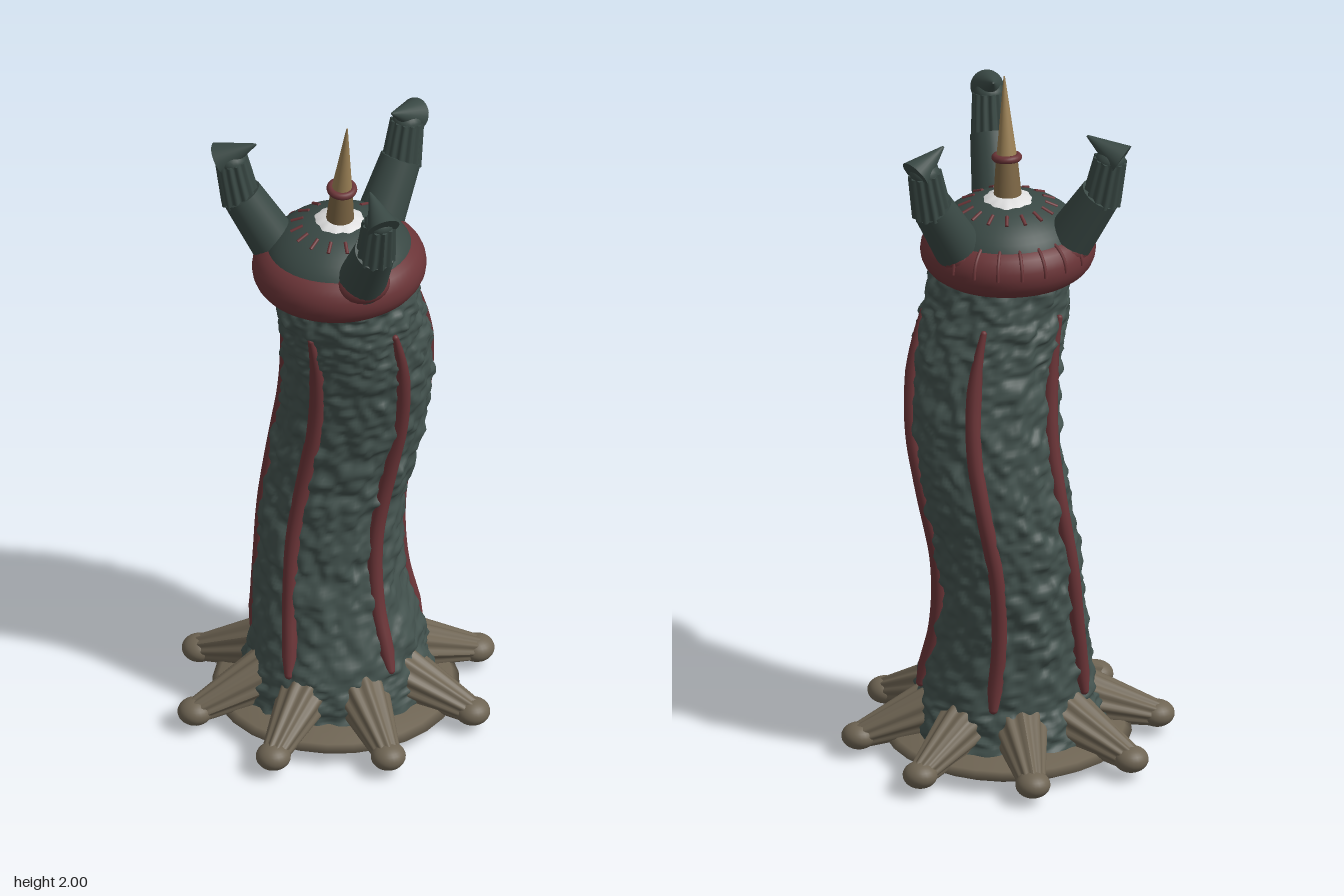
import * as THREE from 'three';
import { mergeVertices } from 'three/addons/utils/BufferGeometryUtils.js';

const V = (x, y, z) => new THREE.Vector3(x, y, z);
const mat = (name, color) => {
  const m = new THREE.MeshStandardMaterial({ color });
  m.name = name;
  return m;
};

// Height, centre x, centre z and radius of the trunk, which is slightly oval
const OVAL = 0.93;
const SPINE = [
  [0.07, 0, 0, 0.275], [0.2, 0.008, 0, 0.246], [0.4, 0.003, -0.033, 0.211], [0.6, 0.014, -0.053, 0.2],
  [0.8, 0.048, -0.052, 0.203], [1.0, 0.073, -0.025, 0.207], [1.2, 0.063, 0.01, 0.206],
  [1.35, 0.032, 0.035, 0.203], [1.5, 0.0, 0.045, 0.188],
];
const axisCurve = new THREE.CatmullRomCurve3(SPINE.map(([y, x, z]) => V(x, y, z)));
const radiusCurve = new THREE.CatmullRomCurve3(SPINE.map(([y, , , r]) => V(r, y, 0)));

// Point on the trunk at spine parameter t and angle a, pushed out by d
function trunkPoint(t, a, d) {
  const p = axisCurve.getPoint(t);
  const r = radiusCurve.getPoint(t).x + d;
  return V(p.x + Math.sin(a) * r, p.y, p.z + Math.cos(a) * r * OVAL);
}

// Smooth lattice noise, periodic around the trunk
function hash(i, j) {
  const s = Math.sin(i * 127.1 + j * 311.7) * 43758.5453;
  return (s - Math.floor(s)) * 2 - 1;
}
function noise(u, v, cells) {
  const i = Math.floor(u), j = Math.floor(v);
  const s = (f) => f * f * (3 - 2 * f);
  const a = s(u - i), b = s(v - j);
  const h = (di, dj) => hash((((i + di) % cells) + cells) % cells, j + dj);
  return (h(0, 0) * (1 - a) + h(1, 0) * a) * (1 - b) + (h(0, 1) * (1 - a) + h(1, 1) * a) * b;
}

// Rough, swaying trunk
function trunkGeometry() {
  const g = new THREE.CylinderGeometry(1, 1, 1, 144, 180, true);
  g.deleteAttribute('uv');
  const pos = g.attributes.position;
  for (let i = 0; i < pos.count; i++) {
    const t = pos.getY(i) + 0.5;
    const a = Math.atan2(pos.getX(i), pos.getZ(i));
    const u = a / (Math.PI * 2) + 1;
    const bump = 0.01 * noise(u * 34 + t * 6, t * 40, 34) + 0.007 * noise(u * 60, t * 80, 60);
    const q = trunkPoint(t, a, bump);
    pos.setXYZ(i, q.x, q.y, q.z);
  }
  g.deleteAttribute('normal');
  const merged = mergeVertices(g, 1e-5);
  merged.computeVertexNormals();
  return merged;
}

// Tapered rod between two points, optionally with lengthwise ribs
function rod(a, b, ra, rb, ribs = 0, depth = 0.15) {
  const dir = b.clone().sub(a);
  const g = new THREE.CylinderGeometry(rb, ra, dir.length(), ribs ? ribs * 6 : 28, 4);
  if (ribs) {
    const pos = g.attributes.position;
    for (let i = 0; i < pos.count; i++) {
      const ang = Math.atan2(pos.getX(i), pos.getZ(i));
      const k = 1 - depth * (0.5 - 0.5 * Math.cos(ang * ribs));
      pos.setXYZ(i, pos.getX(i) * k, pos.getY(i), pos.getZ(i) * k);
    }
    g.computeVertexNormals();
  }
  g.applyQuaternion(new THREE.Quaternion().setFromUnitVectors(V(0, 1, 0), dir.normalize()));
  g.translate((a.x + b.x) / 2, (a.y + b.y) / 2, (a.z + b.z) / 2);
  return g;
}

export function createModel() {
  const model = new THREE.Group();
  const skin = mat('trunkGreen', 0x43524e);
  skin.side = THREE.DoubleSide;
  const dark = mat('headGreen', 0x394844);
  const red = mat('maroon', 0x6a3437);
  const stone = mat('rootTaupe', 0x6e6453);
  const white = mat('eyeWhite', 0xdedede);
  const tan = mat('hornTan', 0x9a8055);
  const brown = mat('hornBase', 0x7a6443);
  const add = (parent, name, geo, m) => {
    const mesh = new THREE.Mesh(geo, m);
    mesh.name = name;
    parent.add(mesh);
    return mesh;
  };
  const group = (name) => {
    const g = new THREE.Group();
    g.name = name;
    model.add(g);
    return g;
  };

  // Base disc
  const disc = [[0, 0], [0.22, 0.012], [0.31, 0.025], [0.345, 0.045], [0.325, 0.062], [0.22, 0.085], [0, 0.1]];
  const base = new THREE.LatheGeometry(disc.map(([x, y]) => new THREE.Vector2(x, y)), 28);
  add(model, 'baseDisc', base.translate(0.004, 0, 0), stone);

  // Eight ribbed roots ending in round knobs
  const roots = group('roots');
  for (let i = 0; i < 8; i++) {
    const a = (i * Math.PI) / 4;
    const at = (r, y) => V(Math.sin(a) * r + 0.004, y, Math.cos(a) * r * 0.945);
    add(roots, 'root', rod(at(0.19, 0.138), at(0.42, 0.056), 0.083, 0.037, 10, 0.13), stone);
    const knob = add(roots, 'rootKnob', new THREE.SphereGeometry(0.049, 24, 16), stone);
    knob.position.copy(at(0.421, 0.056));
    knob.scale.y = 0.75;
  }

  // Trunk and its five long veins, narrowed at both ends
  add(model, 'trunk', trunkGeometry(), skin);
  const veins = group('veins');
  for (let i = 0; i < 5; i++) {
    const a = ((18 + 72 * i) * Math.PI) / 180;
    const pts = [];
    for (let k = 0; k <= 14; k++) pts.push(trunkPoint(0.13 + (k / 14) * 0.73, a, -0.002));
    const curve = new THREE.CatmullRomCurve3(pts);
    const tube = new THREE.TubeGeometry(curve, 60, 0.022, 12);
    const pos = tube.attributes.position;
    for (let k = 0; k < pos.count; k++) {
      const t = Math.floor(k / 13) / 60;
      const c = curve.getPointAt(t);
      const taper = Math.min(1, 0.6 + 8 * t, 0.4 + 4 * (1 - t));
      const q = V(pos.getX(k), pos.getY(k), pos.getZ(k)).sub(c).multiplyScalar(taper).add(c);
      pos.setXYZ(k, q.x, q.y, q.z);
    }
    add(veins, 'vein', tube, red);
    add(veins, 'veinEnd', new THREE.SphereGeometry(0.0132, 12, 8), red).position.copy(pts[0]);
    add(veins, 'veinEnd', new THREE.SphereGeometry(0.0088, 12, 8), red).position.copy(pts[14]);
  }

  // Head: everything below is centred on the head axis
  const head = group('head');
  head.position.set(-0.004, 0, 0.045);
  const collar = new THREE.TorusGeometry(0.17, 0.075, 24, 64).rotateX(Math.PI / 2);
  collar.scale(1, 1, 0.94);
  add(head, 'collar', collar.translate(0, 1.503, 0), red);
  const dome = new THREE.SphereGeometry(1, 48, 24).scale(0.217, 0.142, 0.205);
  add(head, 'dome', dome.translate(0, 1.518, 0), dark);

  // Pale patch with a ragged rim
  const patch = new THREE.SphereGeometry(1, 64, 32).scale(0.1, 0.07, 0.1);
  const pp = patch.attributes.position;
  for (let i = 0; i < pp.count; i++) {
    const a = Math.atan2(pp.getX(i), pp.getZ(i));
    const k = 1.02 + 0.02 * Math.sin(a * 5) + 0.02 * Math.sin(a * 11 + 1);
    pp.setXYZ(i, pp.getX(i) * k, pp.getY(i), pp.getZ(i) * k);
  }
  patch.computeVertexNormals();
  add(head, 'eyePatch', patch.translate(0, 1.6, 0), white);

  // Short radial marks on the dome
  for (let i = 0; i < 16; i++) {
    const a = ((i + 0.5) * Math.PI) / 8;
    const at = (r, y) => V(Math.sin(a) * r, y, Math.cos(a) * r * 0.97);
    add(head, 'domeMark', rod(at(0.103, 1.643), at(0.137, 1.628), 0.005, 0.005), red);
  }

  // Ribs over the back of the collar
  for (let i = -3; i <= 3; i++) {
    const a = Math.PI + i * 0.28;
    const pts = [];
    for (let k = 0; k <= 8; k++) {
      const b = (k / 8) * 1.4;
      const r = 0.17 + 0.075 * Math.cos(b);
      pts.push(V(Math.sin(a) * r, 1.503 + 0.075 * Math.sin(b), Math.cos(a) * r * 0.94));
    }
    add(head, 'collarRib', new THREE.TubeGeometry(new THREE.CatmullRomCurve3(pts), 16, 0.005, 8), red);
  }

  // Three jointed arms with ribbed wrists and beaked tips, the back pair set lower
  for (let i = 0; i < 3; i++) {
    const arm = new THREE.Group();
    arm.name = 'arm';
    arm.rotation.y = (i * Math.PI * 2) / 3;
    arm.position.y = i ? -0.015 : 0;
    head.add(arm);
    const at = (r, y) => V(0, y, r);
    add(arm, 'armSocket', new THREE.SphereGeometry(0.078, 24, 16).scale(1, 0.7, 0.8).translate(0, 1.55, 0.18), red);
    add(arm, 'upperArm', rod(at(0.165, 1.545), at(0.275, 1.725), 0.071, 0.058), dark);
    add(arm, 'wrist', rod(at(0.276, 1.705), at(0.303, 1.838), 0.057, 0.048, 12, 0.16), dark);
    add(arm, 'wristCap', new THREE.SphereGeometry(0.042, 20, 12).scale(1, 0.8, 1).translate(0, 1.837, 0.303), dark);
    add(arm, 'beak', rod(at(0.336, 1.84), at(0.234, 1.898), 0.047, 0.003), dark);
  }

  // Central horn with a ring
  const foot = V(0, 1.65, 0.005), ring = V(0, 1.77, 0.02), tip = V(0, 2, 0.06);
  add(head, 'hornBase', rod(foot, ring, 0.04, 0.03), brown);
  add(head, 'horn', rod(ring, tip, 0.029, 0.002), tan);
  const band = add(head, 'hornRing', new THREE.TorusGeometry(0.032, 0.011, 12, 32).rotateX(Math.PI / 2), red);
  band.position.copy(ring);
  band.rotation.x = 0.15;

  return model;
}
